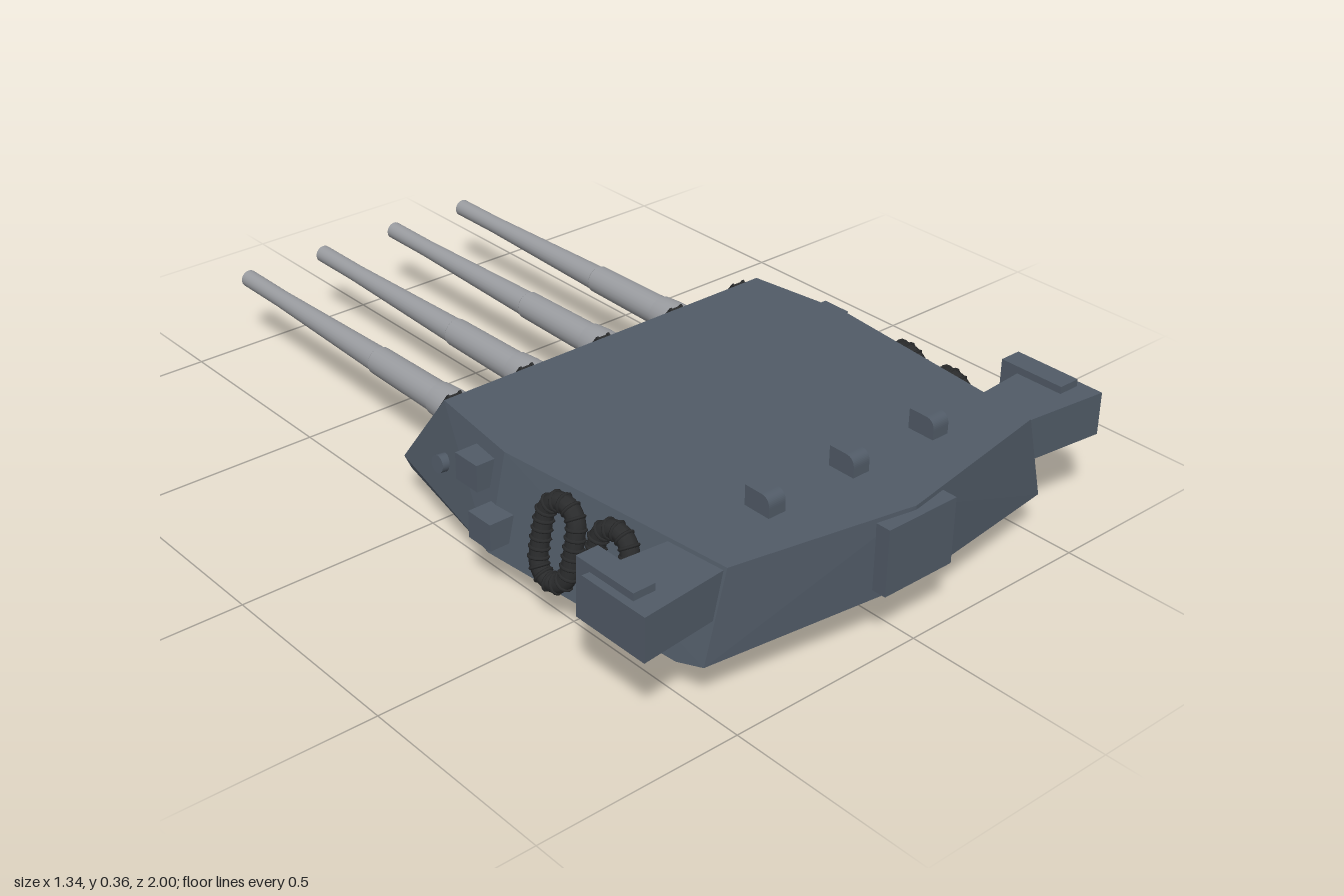
import * as THREE from 'three';
import { ConvexGeometry } from 'three/addons/geometries/ConvexGeometry.js';

const steel = new THREE.MeshStandardMaterial({ color: 0x515b67 });
steel.name = 'blue grey steel';
const gunGrey = new THREE.MeshStandardMaterial({ color: 0x9a9ca0 });
gunGrey.name = 'light gun grey';
const dark = new THREE.MeshStandardMaterial({ color: 0x2a2b2c });
dark.name = 'dark fittings';

function add(parent, name, geometry, material, x = 0, y = 0, z = 0) {
  const mesh = new THREE.Mesh(geometry, material);
  mesh.name = name;
  mesh.position.set(x, y, z);
  parent.add(mesh);
  return mesh;
}
const box = (w, h, d) => new THREE.BoxGeometry(w, h, d);
const shapeOf = (pts) => new THREE.Shape(pts.map(([x, y]) => new THREE.Vector2(x, y)));
const BARRELS = [-0.34, -0.113, 0.113, 0.34];

// Faceted armoured hull, left open where the gun face goes
function hullGeometry() {
  const half = [
    [0.47, 0.315, 0.02], [0.505, 0.315, 0.28], [0.445, 0.315, 0.9],
    [0.48, 0.11, -0.13], [0.475, 0.085, -0.11], [0.555, 0.085, 0.28],
    [0.51, 0.085, 0.83], [0.5, 0.104, 0.9],
  ];
  const points = [new THREE.Vector3(0, 0.315, 0.98), new THREE.Vector3(0, 0.125, 0.98)];
  for (const [x, y, z] of half) {
    points.push(new THREE.Vector3(x, y, z), new THREE.Vector3(-x, y, z));
  }
  const hull = new ConvexGeometry(points);
  const p = hull.attributes.position, n = hull.attributes.normal;
  const keepP = [], keepN = [];
  for (let i = 0; i < p.count; i += 3) {
    if (n.getZ(i) < -0.6 && n.getY(i) > 0.3) continue;
    for (let k = i; k < i + 3; k++) {
      keepP.push(p.getX(k), p.getY(k), p.getZ(k));
      keepN.push(n.getX(k), n.getY(k), n.getZ(k));
    }
  }
  const open = new THREE.BufferGeometry();
  open.setAttribute('position', new THREE.Float32BufferAttribute(keepP, 3));
  open.setAttribute('normal', new THREE.Float32BufferAttribute(keepN, 3));
  return open;
}

// Sloped gun face with four slots, dark recess and five ladders
function gunFace() {
  const face = new THREE.Group();
  face.name = 'gunFace';
  const up = new THREE.Vector3(0, 0.205, 0.15).normalize();
  const out = new THREE.Vector3(0, 0.15, -0.205).normalize();
  const basis = new THREE.Matrix4().makeBasis(new THREE.Vector3(-1, 0, 0), up, out);
  face.quaternion.setFromRotationMatrix(basis);
  face.position.set(0, 0.11, -0.13);

  const plate = shapeOf([[-0.48, 0], [0.48, 0], [0.47, 0.254], [-0.47, 0.254]]);
  for (const x of BARRELS) {
    const slot = new THREE.Path();
    slot.moveTo(x - 0.055, 0.045);
    slot.lineTo(x - 0.055, 0.165);
    slot.absarc(x, 0.165, 0.055, Math.PI, 0, true);
    slot.lineTo(x + 0.055, 0.045);
    slot.closePath();
    plate.holes.push(slot);
  }
  const plateGeo = new THREE.ExtrudeGeometry(plate, { depth: 0.03, bevelEnabled: false });
  add(face, 'slottedPlate', plateGeo, steel, 0, 0, -0.03);
  add(face, 'slotRecess', box(0.9, 0.2, 0.005), dark, 0, 0.138, -0.056);

  for (const x of [-0.428, -0.226, 0, 0.226, 0.428]) {
    for (const s of [-1, 1]) add(face, 'ladderRail', box(0.006, 0.225, 0.014), dark, x + s * 0.016, 0.125, 0.007);
    for (let i = 0; i < 13; i++) add(face, 'ladderRung', box(0.03, 0.008, 0.008), dark, x, 0.02 + i * 0.0175, 0.008);
  }
  return face;
}

// Stepped, tapering barrel with a hollow muzzle, pointing along -z
function barrel(x) {
  const gun = new THREE.Group();
  gun.name = 'gunBarrel';
  gun.position.set(x, 0.187, 0);
  gun.rotation.x = -Math.PI / 2;
  const profile = [
    [0, -0.02], [0.028, -0.014], [0.041, 0], [0.046, 0.02], [0.044, 0.14], [0.041, 0.18],
    [0.038, 0.182], [0.035, 0.42], [0.032, 0.424], [0.022, 0.85], [0.022, 1], [0.014, 1], [0.014, 0.96],
  ];
  // Doubled profile points keep the steps and the muzzle crisp
  for (const [a, b] of [[0, 6], [5, 7], [6, 8], [7, 9], [8, 11], [10, 12], [11, 13]]) {
    const pts = profile.slice(a, b).map(([r, y]) => new THREE.Vector2(r, y));
    if (pts.length > 1) add(gun, 'barrelSection', new THREE.LatheGeometry(pts, 24), gunGrey);
  }
  const bore = add(gun, 'bore', new THREE.CircleGeometry(0.014, 20), dark, 0, 0.962, 0);
  bore.rotation.x = -Math.PI / 2;
  return gun;
}

// Long life raft ring with lashings, leaning on the side wall
function raft(s, x, z) {
  const group = new THREE.Group();
  group.name = 'lifeRaft';
  group.position.set(s * x, 0.2, z);
  group.rotation.set(0, -s * 0.09, s * 0.21);
  const pts = [];
  for (let i = 0; i < 24; i++) {
    const a = ((i + 0.5) / 24) * Math.PI * 2;
    pts.push(new THREE.Vector3(0, Math.sin(a) * 0.046 + Math.sign(Math.sin(a)) * 0.044, Math.cos(a) * 0.046));
  }
  const path = new THREE.CatmullRomCurve3(pts, true);
  add(group, 'raftTube', new THREE.TubeGeometry(path, 60, 0.021, 10, true), dark);
  const band = new THREE.TorusGeometry(0.021, 0.004, 5, 12);
  for (let i = 0; i < 22; i++) {
    const lashing = add(group, 'raftLashing', band, dark);
    lashing.position.copy(path.getPointAt(i / 22));
    lashing.quaternion.setFromUnitVectors(new THREE.Vector3(0, 0, 1), path.getTangentAt(i / 22));
  }
  return group;
}

// Rangefinder arm, flared outward, with its lens housing
function rangefinder(s) {
  const group = new THREE.Group();
  group.name = 'rangefinderArm';
  const plan = shapeOf([[s * 0.42, 0.75], [s * 0.668, 0.73], [s * 0.668, 0.915], [s * 0.42, 0.89]]);
  const arm = new THREE.ExtrudeGeometry(plan, { depth: 0.105, bevelEnabled: false });
  arm.rotateX(Math.PI / 2);
  add(group, 'armCasing', arm, steel, 0, 0.307, 0);
  add(group, 'lensHousing', box(0.056, 0.143, 0.17), steel, s * 0.621, 0.253, 0.775);
  return group;
}

export function createModel() {
  const model = new THREE.Group();
  model.name = 'gunTurret';

  // Base ring and hull
  add(model, 'baseRing', new THREE.CylinderGeometry(0.46, 0.46, 0.09, 64), steel, 0, 0.045, 0.31);
  add(model, 'turretHull', hullGeometry(), steel);
  model.add(gunFace());
  for (const x of BARRELS) model.add(barrel(x));

  // Rear hatch
  add(model, 'rearHatch', box(0.196, 0.16, 0.05), steel, 0, 0.225, 0.975);

  // Roof sight hoods, rounded at the rear and open towards the guns
  const hood = new THREE.Shape();
  hood.moveTo(-0.825, 0);
  hood.lineTo(-0.755, 0);
  hood.lineTo(-0.755, 0.048);
  hood.lineTo(-0.8, 0.048);
  hood.quadraticCurveTo(-0.825, 0.048, -0.825, 0.022);
  const hoodGeo = new THREE.ExtrudeGeometry(hood, { depth: 0.046, bevelEnabled: false });
  hoodGeo.rotateY(Math.PI / 2);
  for (const x of [-0.24, 0, 0.24]) {
    add(model, 'sightHood', hoodGeo, steel, x - 0.023, 0.315, 0);
    add(model, 'sightOpening', box(0.024, 0.026, 0.004), dark, x, 0.338, 0.754);
  }

  // Fittings on both sides
  for (const s of [-1, 1]) {
    model.add(rangefinder(s));
    model.add(raft(s, 0.528, 0.482));
    model.add(raft(s, 0.513, 0.632));
    add(model, 'upperSideBox', box(0.08, 0.065, 0.075), steel, s * 0.515, 0.252, 0.21);
    add(model, 'lowerSideBox', box(0.08, 0.065, 0.075), steel, s * 0.55, 0.162, 0.298);
    const port = add(model, 'sidePort', new THREE.CylinderGeometry(0.021, 0.021, 0.05, 20), steel, s * 0.495, 0.185, 0.055);
    port.rotation.z = Math.PI / 2 + s * 0.1;
  }
  return model;
}
